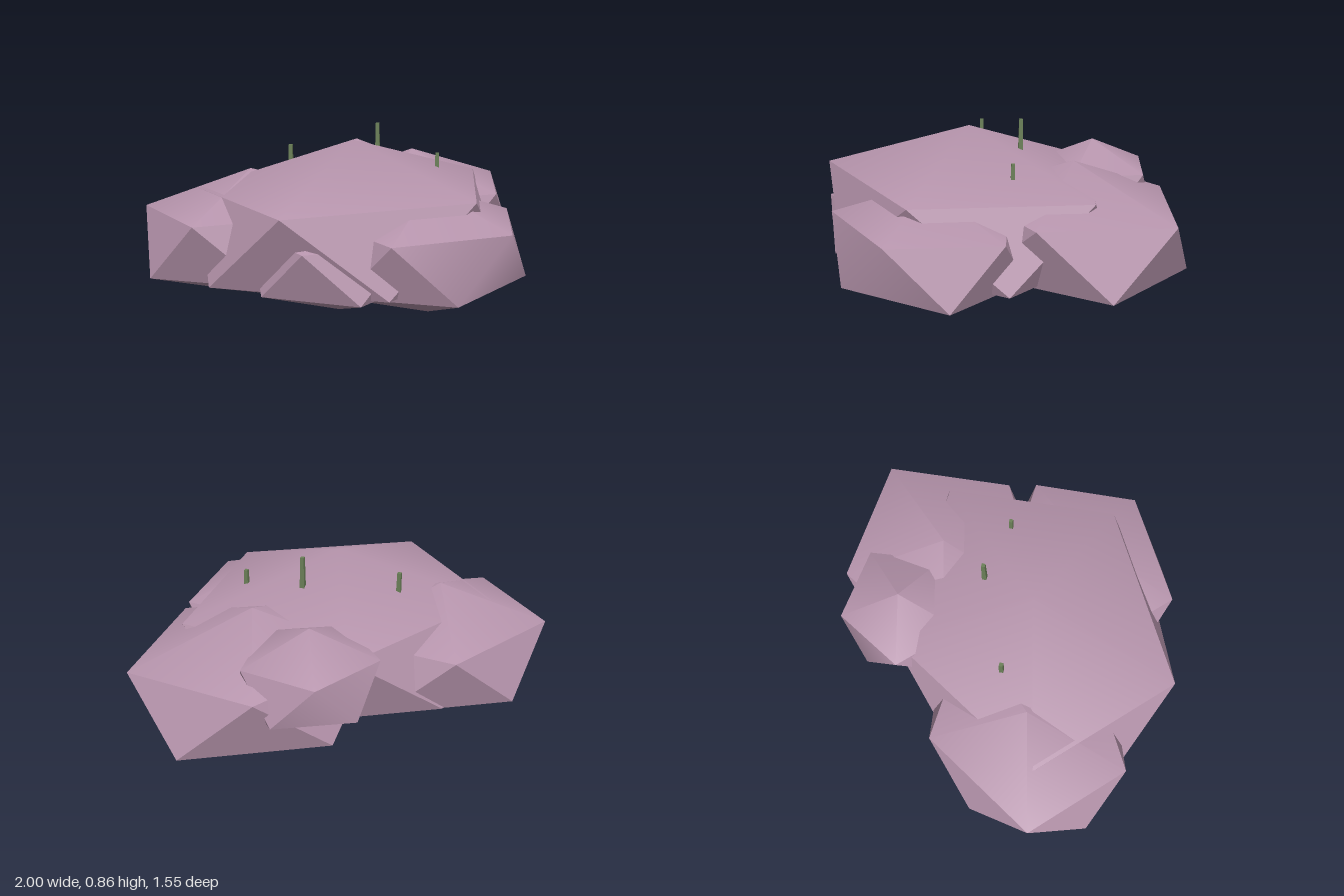
import * as THREE from 'three';
import { toCreasedNormals } from 'three/addons/utils/BufferGeometryUtils.js';

// Icosahedron standing on a corner, scaled per axis; only its sharp edges are creased
function lumpGeometry(rx, ry, rz) {
  const ring = (y, turn) => Array.from({ length: 5 }, (_, i) => {
    const a = (i * 72 + turn) * Math.PI / 180;
    return [Math.cos(a) * 0.8944 * rx, y * ry, Math.sin(a) * 0.8944 * rz];
  });
  const top = [0, ry, 0], bottom = [0, -ry, 0];
  const u = ring(0.4472, 0), l = ring(-0.4472, 36);
  const pos = [];
  for (let i = 0; i < 5; i++) {
    const j = (i + 1) % 5;
    pos.push(...top, ...u[j], ...u[i]);
    pos.push(...u[i], ...u[j], ...l[i]);
    pos.push(...l[i], ...u[j], ...l[j]);
    pos.push(...l[i], ...l[j], ...bottom);
  }
  const g = new THREE.BufferGeometry();
  g.setAttribute('position', new THREE.Float32BufferAttribute(pos, 3));
  return toCreasedNormals(g, Math.PI / 4);
}

export function createModel() {
  const model = new THREE.Group();
  model.name = 'rockCluster';

  const stone = new THREE.MeshStandardMaterial({ color: 0xb795ad });
  stone.name = 'mauve stone';
  const green = new THREE.MeshStandardMaterial({ color: 0x6b8058, flatShading: true });
  green.name = 'stem green';

  // Overlapping lumps: name, centre, radii
  const lumps = [
    ['centreLump', [-0.07, 0.41, -0.015], [0.86, 0.405, 0.7225]],
    ['leftLump', [0.43, 0.365, -0.195], [0.638, 0.335, 0.542]],
    ['backRightLump', [-0.47, 0.3675, -0.29], [0.592, 0.3125, 0.494]],
    ['frontLump', [0.07, 0.343, 0.395], [0.542, 0.296, 0.447]],
    ['backLeftLump', [0.295, 0.5, -0.51], [0.344, 0.225, 0.317]],
    ['frontRightLump', [-0.297, 0.33, 0.2], [0.446, 0.252, 0.415]],
  ];
  for (const [name, centre, radii] of lumps) {
    const lump = new THREE.Mesh(lumpGeometry(...radii), stone);
    lump.name = name;
    lump.position.set(...centre);
    model.add(lump);
  }

  // Thin tapered stems pushed through the lumps: x, z, top height
  const stemLength = 0.59;
  for (const [x, z, topY] of [[-0.25, -0.287, 0.773], [0.16, -0.13, 0.863], [0.34, 0.12, 0.73]]) {
    const stem = new THREE.Mesh(new THREE.CylinderGeometry(0.012, 0.026, stemLength, 4), green);
    stem.name = 'stem';
    stem.position.set(x, topY - stemLength / 2, z);
    model.add(stem);
  }
  return model;
}
